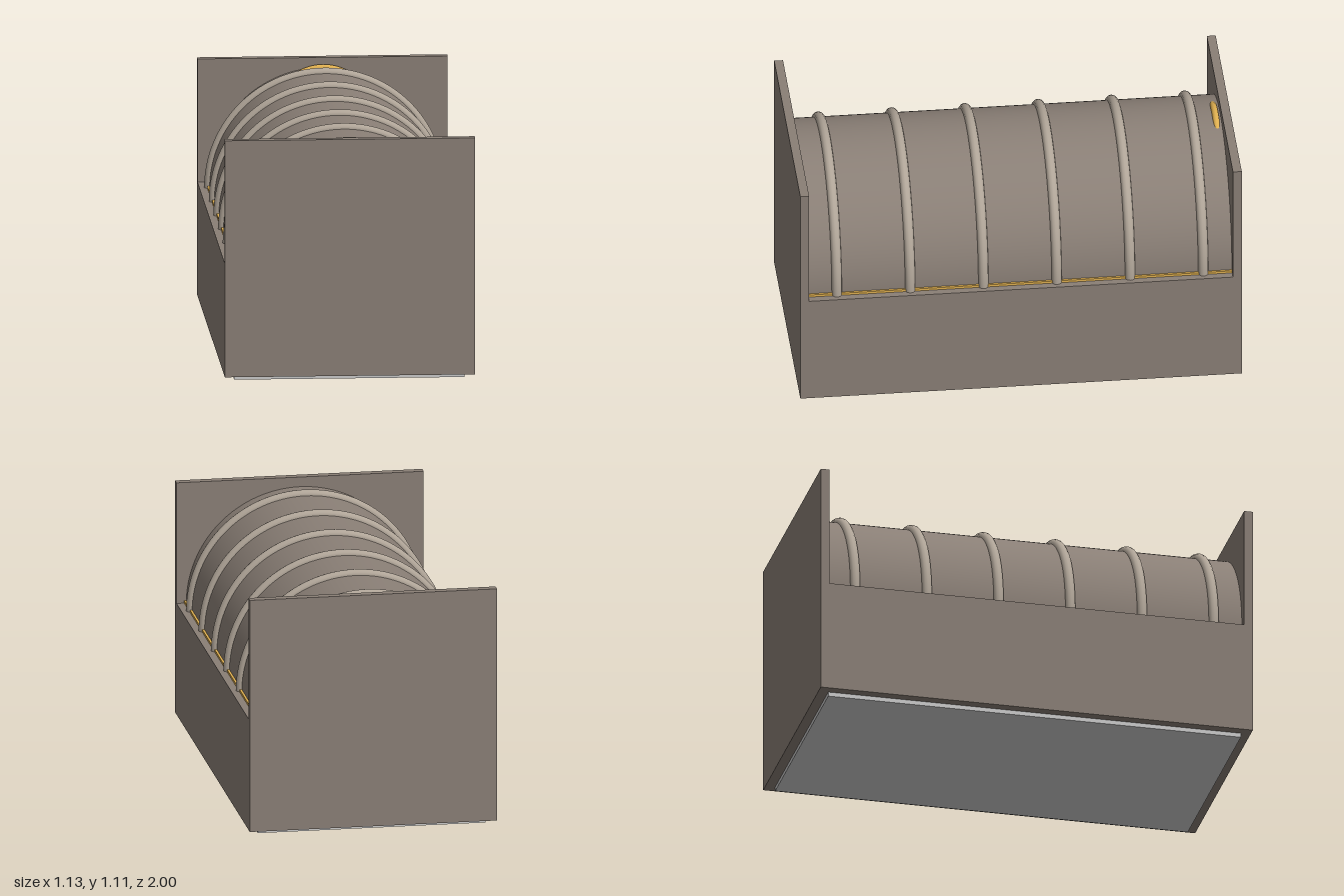
import * as THREE from 'three';

export function createModel() {
  const group = new THREE.Group();
  const stone = new THREE.MeshStandardMaterial({ color: 0x8a7f76 });
  const ribStone = new THREE.MeshStandardMaterial({ color: 0xb0a598 });
  const gold = new THREE.MeshStandardMaterial({ color: 0xe0b050 });
  const grey = new THREE.MeshStandardMaterial({ color: 0xcccccc });

  const add = (name, geometry, material, x, y, z) => {
    const mesh = new THREE.Mesh(geometry, material);
    mesh.name = name;
    mesh.position.set(x, y, z);
    group.add(mesh);
    return mesh;
  };
  const box = (name, material, w, h, d, x, y, z) =>
    add(name, new THREE.BoxGeometry(w, h, d), material, x, y, z);

  const springY = 0.54; // height where the vault meets the base block
  const radius = 0.52;

  // Foot plate and solid lower block
  box('footPlate', grey, 1.04, 0.03, 1.91, 0, 0.015, 0);
  box('lowerBlock', stone, 1.13, 0.52, 1.92, 0, 0.28, 0);

  // End walls
  for (const s of [1, -1]) {
    box(s > 0 ? 'frontWall' : 'backWall', stone, 1.13, 1.085, 0.04, 0, 0.5625, s * 0.98);
  }

  // Half-round vault running from wall to wall
  const vault = new THREE.CylinderGeometry(radius, radius, 1.92, 64, 1, true, Math.PI / 2, Math.PI);
  vault.rotateX(Math.PI / 2);
  add('vault', vault, stone, 0, springY, 0);

  // Six arched ribs
  for (let i = 0; i < 6; i++) {
    const rib = new THREE.TorusGeometry(radius, 0.023, 12, 64, Math.PI);
    add('rib', rib, ribStone, 0, springY, -0.83 + i * 0.332);
  }

  // Gilded strips along the foot of the vault
  for (const s of [1, -1]) {
    box(s > 0 ? 'leftTrim' : 'rightTrim', gold, 0.016, 0.012, 1.92, s * 0.522, springY + 0.005, 0);
  }

  // Gilded ring breaking through the vault crown at the back
  add('crownRing', new THREE.TorusGeometry(0.215, 0.015, 12, 64), gold, 0, 0.848, -0.937);

  return group;
}
